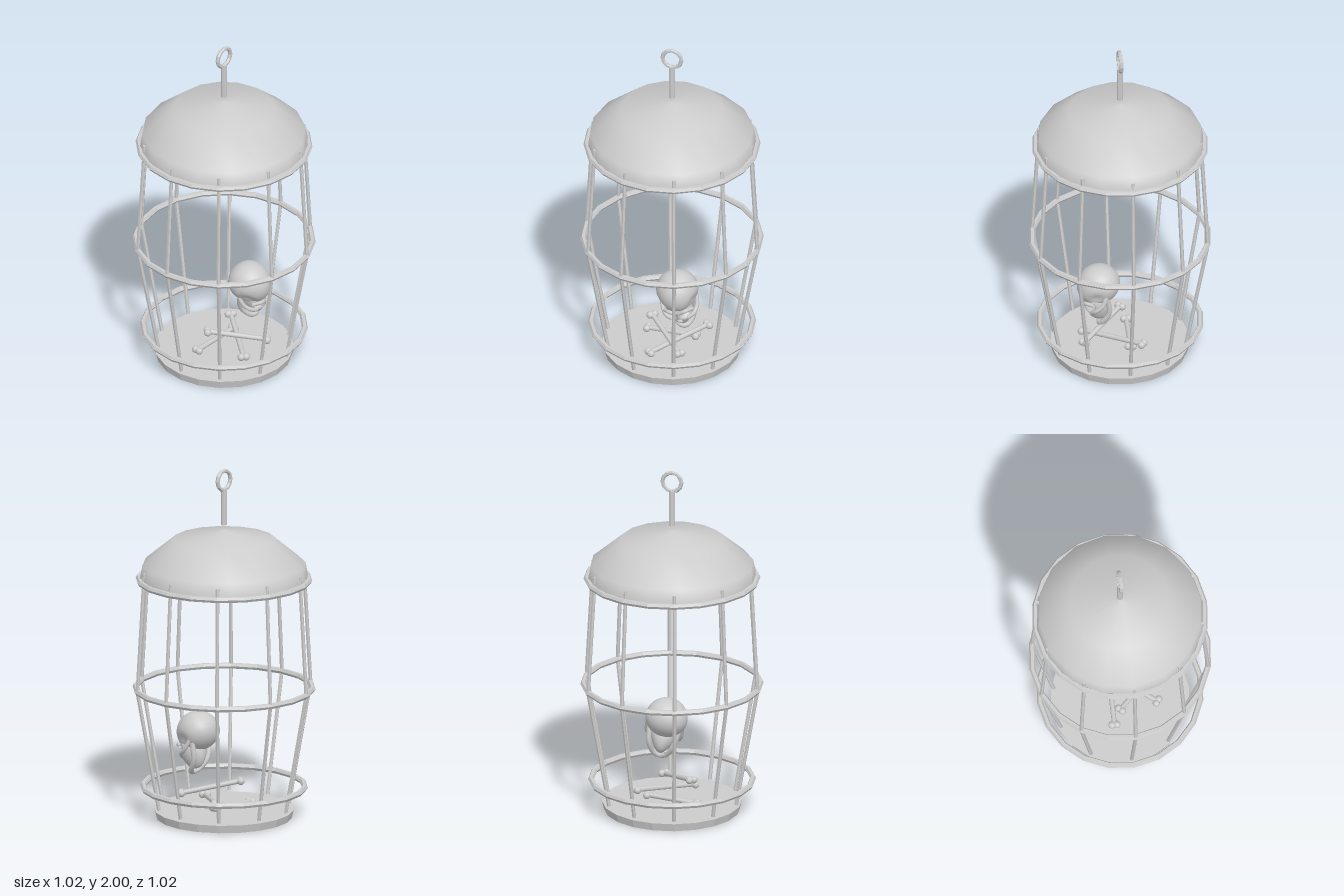
import * as THREE from 'three';

const smooth = new THREE.MeshStandardMaterial({ color: 0xcccccc, side: THREE.DoubleSide });
const faceted = new THREE.MeshStandardMaterial({ color: 0xcccccc, flatShading: true });
const V = (x, y, z) => new THREE.Vector3(x, y, z);

function add(parent, name, geometry, material = smooth) {
  const mesh = new THREE.Mesh(geometry, material);
  mesh.name = name;
  parent.add(mesh);
  return mesh;
}

// Straight cylinder between two points
function rod(parent, name, a, b, radius, sides, material) {
  const mesh = add(parent, name, new THREE.CylinderGeometry(radius, radius, a.distanceTo(b), sides), material);
  mesh.position.copy(a).lerp(b, 0.5);
  mesh.quaternion.setFromUnitVectors(V(0, 1, 0), b.clone().sub(a).normalize());
  return mesh;
}

// Long bone: shaft with a pair of knuckles at each end
function bone(parent, a, b) {
  const group = new THREE.Group();
  group.name = 'bone';
  rod(group, 'boneShaft', a, b, 0.014, 10, smooth);
  const dir = b.clone().sub(a).normalize();
  const across = V(0, 1, 0).cross(dir).normalize();
  for (const end of [a, b]) {
    for (const side of [-1, 1]) {
      const knuckle = add(group, 'boneKnuckle', new THREE.SphereGeometry(0.021, 12, 8));
      knuckle.position.copy(end).addScaledVector(across, side * 0.014);
    }
  }
  parent.add(group);
}

// Moves every vertex of a geometry by a rule
function reshape(geometry, rule) {
  const pos = geometry.attributes.position, v = V(0, 0, 0);
  for (let i = 0; i < pos.count; i++) {
    v.fromBufferAttribute(pos, i);
    rule(v);
    pos.setXYZ(i, v.x, v.y, v.z);
  }
  geometry.computeVertexNormals();
  return geometry;
}

function createSkull() {
  const skull = new THREE.Group();
  skull.name = 'skull';

  // Braincase, narrower towards the forehead, with shallow temples
  add(skull, 'cranium', reshape(new THREE.SphereGeometry(1, 32, 24), (v) => {
    const temple = Math.exp(-((v.y + 0.25) ** 2 + (v.z - 0.45) ** 2) / 0.06);
    v.x *= 0.118 * (1 - 0.1 * v.z) * (1 - 0.22 * temple);
    v.y *= v.y > 0 ? 0.118 : 0.105;
    v.z *= 0.123;
  }));

  // Face, tapering to the teeth, with hollow eyes and nose
  const pits = [[-0.039, -0.075, 0.024, 0.045], [0.039, -0.075, 0.024, 0.045], [0, -0.12, 0.014, 0.025]];
  add(skull, 'face', reshape(new THREE.SphereGeometry(1, 48, 40), (v) => {
    const taper = 0.8 + 0.28 * v.y;
    const front = v.z > 0;
    v.set(v.x * 0.088 * taper, v.y * 0.095 - 0.1, v.z * 0.07 + 0.06);
    if (!front) return;
    for (const [px, py, r, depth] of pits) {
      const d = ((v.x - px) ** 2 + (v.y - py) ** 2) / (r * r);
      v.z -= depth * Math.exp(-d * d);
    }
  }));

  // Brow, cheekbones and lower jaw
  const tube = (name, points, r) =>
    add(skull, name, new THREE.TubeGeometry(new THREE.CatmullRomCurve3(points), 20, r, 8));
  for (const s of [-1, 1]) {
    tube('cheekbone', [V(s * 0.1, -0.045, 0), V(s * 0.098, -0.085, 0.05),
      V(s * 0.078, -0.1, 0.092), V(s * 0.045, -0.112, 0.11)], 0.012);
    tube('browRidge', [V(s * 0.08, -0.06, 0.085), V(s * 0.045, -0.04, 0.117), V(s * 0.008, -0.055, 0.12)], 0.011);
  }
  tube('jaw', [V(-0.085, -0.06, 0), V(-0.068, -0.15, 0.025), V(-0.035, -0.198, 0.08), V(0, -0.205, 0.1),
    V(0.035, -0.198, 0.08), V(0.068, -0.15, 0.025), V(0.085, -0.06, 0)], 0.015);

  skull.rotation.set(0.4, 0.2, 0.2, 'YXZ');
  skull.position.set(0.07, 0.48, 0.132);
  return skull;
}

export function createModel() {
  const cage = new THREE.Group();
  cage.name = 'hangingCage';

  // Floor plate
  add(cage, 'floor', new THREE.CylinderGeometry(0.39, 0.38, 0.045, 20), faceted).position.y = 0.0225;

  // Hoops
  for (const [y, r] of [[0.175, 0.452], [0.742, 0.495], [1.367, 0.477]]) {
    const hoop = add(cage, 'hoop', new THREE.TorusGeometry(r, 0.017, 6, 20), faceted);
    hoop.rotation.x = Math.PI / 2;
    hoop.position.y = y;
  }

  // Ten bars, bent at the middle hoop
  for (let i = 0; i < 10; i++) {
    const a = (i * Math.PI) / 5;
    const at = (r, y) => V(r * Math.cos(a), y, r * Math.sin(a));
    rod(cage, 'lowerBar', at(0.373, 0.058), at(0.497, 0.745), 0.011, 6, faceted);
    rod(cage, 'upperBar', at(0.497, 0.735), at(0.457, 1.425), 0.011, 6, faceted);
  }

  // Domed roof with a closed underside
  const profile = [[0.472, 1.37], [0.457, 1.455], [0.283, 1.6], [0, 1.652]];
  add(cage, 'roof', new THREE.LatheGeometry(profile.map(([r, y]) => new THREE.Vector2(r, y)), 16));
  const underside = add(cage, 'roofUnderside', new THREE.CircleGeometry(0.472, 16));
  underside.rotation.x = Math.PI / 2;
  underside.position.y = 1.37;

  // Hanging stem and eye
  rod(cage, 'stem', V(0, 1.68, 0), V(0, 1.885, 0), 0.018, 8, faceted);
  add(cage, 'hangingRing', new THREE.TorusGeometry(0.055, 0.012, 6, 12), faceted).position.y = 1.935;

  // Remains inside
  cage.add(createSkull());
  bone(cage, V(0.18, 0.125, -0.1), V(-0.07, 0.08, 0.2));
  bone(cage, V(0.11, 0.12, 0.22), V(-0.12, 0.185, -0.02));
  bone(cage, V(-0.16, 0.066, -0.06), V(0.13, 0.08, -0.04));
  return cage;
}
